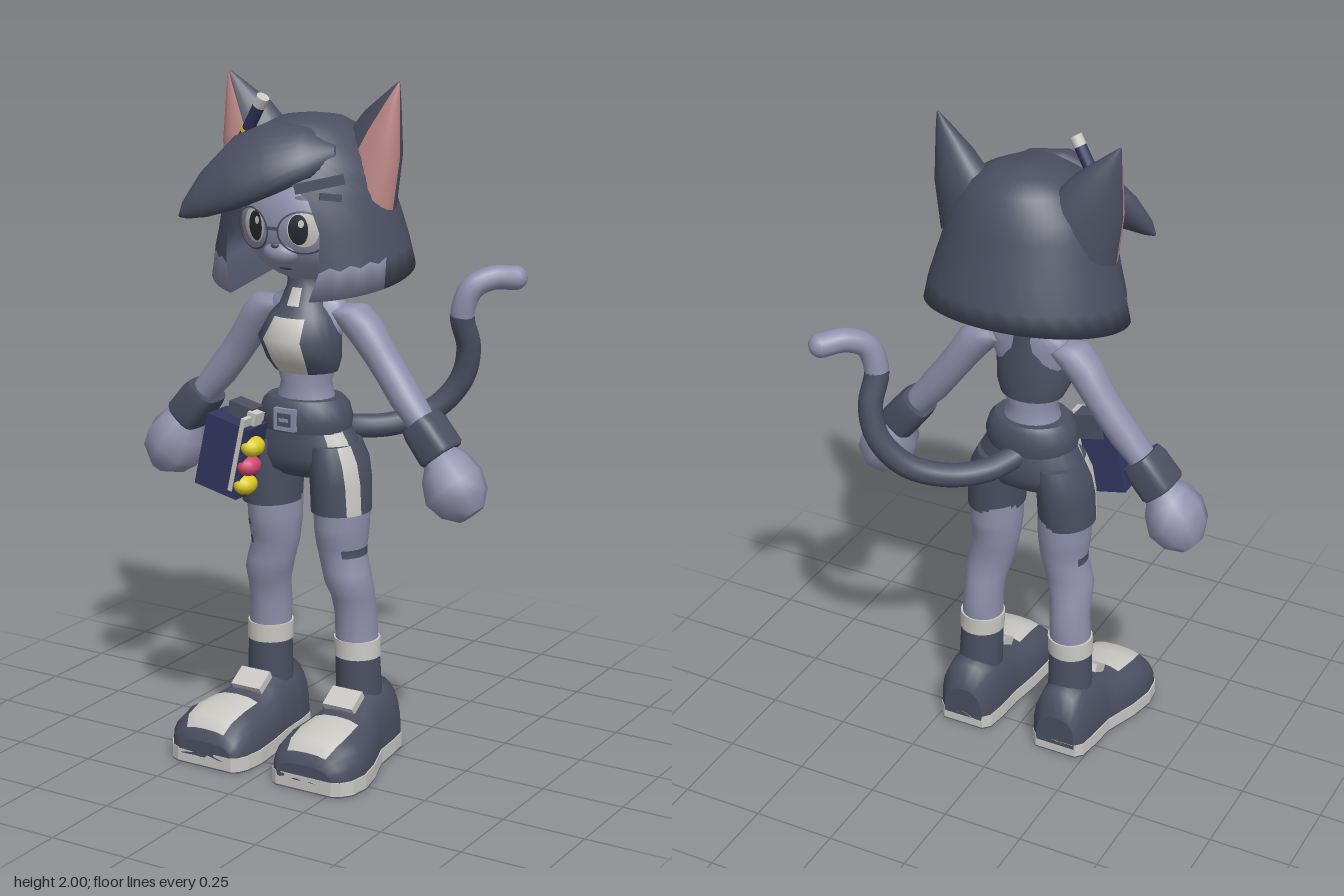
import * as THREE from 'three';

const paintOf = (name, color, double) => {
  const m = new THREE.MeshStandardMaterial({ color });
  m.name = name;
  if (double) m.side = THREE.DoubleSide;
  return m;
};
const V = (x, y, z) => new THREE.Vector3(x, y, z);
const X = V(1, 0, 0), Y = V(0, 1, 0), Z = V(0, 0, 1);

export function createModel() {
  const slate = paintOf('slate', 0x4b4f61, true), fur = paintOf('lavender fur', 0x8f8fac, true);
  const white = paintOf('off white', 0xc9c8c3), pink = paintOf('ear pink', 0xbd8886);
  const navy = paintOf('navy', 0x32365f), yellow = paintOf('yellow', 0xdccb22);
  const magenta = paintOf('magenta', 0xd0466f), ink = paintOf('ink', 0x282a33);
  const model = new THREE.Group();
  model.name = 'catCharacter';

  const add = (name, geo, mat, pos, rot) => {
    const m = new THREE.Mesh(geo, mat);
    m.name = name;
    if (pos) m.position.set(...pos);
    if (rot) m.rotation.set(...rot);
    model.add(m);
    return m;
  };

  // Indexed grid surface with one geometry group per material
  const grid = (name, pts, quads, mats) => {
    const geo = new THREE.BufferGeometry().setFromPoints(pts), index = [];
    mats.forEach((_, k) => {
      const start = index.length;
      for (const q of quads) if (q.k === k) index.push(...q.f);
      geo.addGroup(start, index.length - start, k);
    });
    geo.setIndex(index);
    geo.computeVertexNormals();
    return add(name, geo, mats.length > 1 ? mats : mats[0]);
  };

  // Sweep of elliptical rings [x, y, z, a, b] spanned by axes u and v, with flat end caps
  const sweep = (name, rings, mats, { u = X, v = Z, n = 24, p = 2, paint = () => 0, floor = -1 } = {}) => {
    const pts = [], quads = [], N = rings.length;
    const se = c => Math.sign(c) * Math.abs(c) ** (2 / p);
    const ringPts = ([x, y, z, a, b]) => {
      for (let j = 0; j < n; j++) {
        const t = j / n * Math.PI * 2;
        const q = V(x, y, z).addScaledVector(u, a * se(Math.cos(t))).addScaledVector(v, b * se(Math.sin(t)));
        q.y = Math.max(q.y, floor);
        pts.push(q);
      }
    };
    rings.forEach(ringPts);
    const first = V(...rings[0]), last = V(...rings[N - 1]);
    const flip = u.clone().cross(v).dot(last.clone().sub(first)) < 0;
    const tri = (k, a, b, c) => quads.push({ k, f: flip ? [a, c, b] : [a, b, c] });
    for (let i = 0; i < N - 1; i++) for (let j = 0; j < n; j++) {
      const a = i * n + j, b = i * n + (j + 1) % n, k = paint(i, j);
      tri(k, a, b, b + n);
      tri(k, a, b + n, a + n);
    }
    [[rings[0], first], [rings[N - 1], last]].forEach(([r, c], e) => {
      const s = pts.length;
      ringPts(r);
      pts.push(c);
      for (let j = 0; j < n; j++) {
        const a = s + j, b = s + (j + 1) % n;
        e ? tri(0, a, b, s + n) : tri(0, b, a, s + n);
      }
    });
    return grid(name, pts, quads, [].concat(mats));
  };
  // Upright shapes: rows of [y, centre z, x radius, z radius]
  const upright = (name, rows, mats, opt) => sweep(name, rows.map(([y, z, a, b]) => [0, y, z, a, b]), mats, opt);

  // Head and face, with details laid onto the face surface
  const head = add('head', new THREE.SphereGeometry(1, 32, 24), fur, [0, 1.605, 0.05]);
  head.scale.set(0.2, 0.182, 0.19);
  const faceZ = (x, y) => 0.05 + 0.19 * Math.sqrt(Math.max(0, 1 - (x / 0.2) ** 2 - ((y - 1.605) / 0.182) ** 2));
  const onFace = (name, x, y, rx, ry, mat, lift, inner = 0) => {
    const g = new THREE.RingGeometry(inner, 1, 28, 3).scale(rx, ry, 1).translate(x, y, 0), q = g.attributes.position;
    for (let i = 0; i < q.count; i++) q.setZ(i, faceZ(q.getX(i), q.getY(i)) + lift);
    g.computeVertexNormals();
    add(name, g, mat);
  };
  for (const s of [1, -1]) {
    onFace('eyeWhite', s * 0.08, 1.598, 0.042, 0.05, white, 0.003);
    onFace('iris', s * 0.07, 1.598, 0.027, 0.043, ink, 0.006);
    onFace('eyeGlint', s * 0.07 + 0.01, 1.616, 0.008, 0.011, white, 0.009);
    onFace('brow', s * 0.085, 1.685, 0.035, 0.007, slate, 0.004);
    onFace('glassesRim', s * 0.083, 1.59, 0.069, 0.062, slate, 0.016, 0.92);
  }
  add('glassesBridge', new THREE.BoxGeometry(0.035, 0.008, 0.01), slate, [0, 1.6, 0.258]);
  add('muzzle', new THREE.SphereGeometry(1, 20, 14), fur, [0, 1.525, 0.205]).scale.set(0.055, 0.036, 0.042);
  add('nose', new THREE.SphereGeometry(1, 12, 8), slate, [0, 1.55, 0.242]).scale.set(0.012, 0.008, 0.01);
  onFace('mouth', 0, 1.475, 0.022, 0.004, slate, 0.004);

  // Bob hair shell: rows of [y, x radius, back radius, front radius, half opening in degrees, slope of the hem]
  const hairRows = [[1.9, 0.002, 0.002, 0.002, 0, 0], [1.888, 0.09, 0.08, 0.12, 0, 0], [1.855, 0.155, 0.135, 0.18, 0, 0],
    [1.79, 0.205, 0.17, 0.225, 0, 0], [1.74, 0.225, 0.185, 0.245, 14, 0], [1.69, 0.24, 0.2, 0.262, 30, 0],
    [1.61, 0.265, 0.222, 0.264, 35, 0.3], [1.52, 0.288, 0.24, 0.262, 32, 0.7], [1.455, 0.303, 0.254, 0.262, 25, 1],
    [1.475, 0.07, 0.06, 0.06, 75, 0.5]];
  const hn = 48, hairPts = [], hairQuads = [];
  hairRows.forEach(([y, rx, back, front, gap, slope], i) => {
    for (let j = 0; j <= hn; j++) {
      const t = (gap + (360 - 2 * gap) * j / hn) * Math.PI / 180, c = Math.cos(t), z = 0.035 + (c > 0 ? front : back) * c;
      const jag = i === 7 ? 0.012 * (j % 2) : 0;
      hairPts.push(V(rx * Math.sin(t), y - 0.2 * slope * (z - 0.03) + jag, z));
      if (i && j) {
        const d = i * (hn + 1) + j, e = d - 1, b = d - hn - 1, a = b - 1;
        hairQuads.push({ k: i === 8 && (j < 8 || j > hn - 7) ? 1 : 0, f: [a, e, d, a, d, b] });
      }
    }
  });
  grid('bobHair', hairPts, hairQuads, [slate, fur]);

  // Swept fringe
  sweep('fringe', [[0.15, 1.81, 0.15, 0.02, 0.02], [0.09, 1.812, 0.2, 0.08, 0.045], [-0.01, 1.795, 0.235, 0.12, 0.06],
    [-0.11, 1.75, 0.257, 0.12, 0.06], [-0.2, 1.685, 0.288, 0.075, 0.044], [-0.25, 1.64, 0.31, 0.03, 0.022], [-0.27, 1.62, 0.315, 0.004, 0.004]], slate,
  { u: V(-0.3, 0.72, -0.62).normalize(), v: V(-0.2, 0.58, 0.78).normalize() });

  // Hair clips and pencil tucked in the hair
  add('hairClip', new THREE.BoxGeometry(0.14, 0.026, 0.02), slate, [0.15, 1.735, 0.25], [0, 0.6, 0.2]);
  add('hairClip', new THREE.BoxGeometry(0.06, 0.018, 0.02), slate, [0.18, 1.7, 0.24], [0, 0.65, -0.1]);
  const pencil = (name, a, b, r, mat) => {
    const from = V(-0.2, 1.77, 0.135), dir = V(0.115, 0.18, 0.03);
    const m = add(name, new THREE.CylinderGeometry(r, r, dir.length() * (b - a), 12), mat);
    m.position.copy(from).addScaledVector(dir, (a + b) / 2);
    m.quaternion.setFromUnitVectors(Y, dir.normalize());
  };
  pencil('pencilBody', 0, 0.85, 0.018, navy);
  pencil('pencilBand', 0.42, 0.47, 0.02, yellow);
  pencil('pencilCap', 0.85, 1, 0.019, white);

  // Neck, torso and halter top
  upright('torso', [[1.04, 0.07, 0.1, 0.085], [1.09, 0.075, 0.085, 0.075], [1.13, 0.075, 0.075, 0.07], [1.18, 0.075, 0.092, 0.072],
    [1.27, 0.075, 0.112, 0.07], [1.33, 0.062, 0.132, 0.06], [1.37, 0.055, 0.115, 0.053], [1.4, 0.055, 0.055, 0.05], [1.48, 0.055, 0.05, 0.05]], fur);
  upright('halterTop', [[1.165, 0.075, 0.097, 0.08], [1.2, 0.088, 0.113, 0.096], [1.27, 0.11, 0.122, 0.117], [1.33, 0.088, 0.1, 0.09],
    [1.36, 0.075, 0.076, 0.077], [1.41, 0.062, 0.061, 0.064], [1.435, 0.06, 0.061, 0.062]], [slate, white],
  { paint: (i, j) => (i < 3 && j > 3 && j < 8) || (i === 4 && j > 4 && j < 7) ? 1 : 0 });

  // Shorts, belt and buckle
  const stripe = (i, j) => j === 1 || j === 2 ? 1 : 0;
  upright('shortsHips', [[1.02, 0.075, 0.128, 0.1], [0.97, 0.07, 0.158, 0.107], [0.92, 0.07, 0.176, 0.112], [0.88, 0.072, 0.16, 0.095],
    [0.855, 0.072, 0.11, 0.06]], [slate, white], { paint: (i, j) => i < 2 && (stripe(i, j) || stripe(i, 11 - j)) ? 1 : 0 });
  upright('belt', [[0.995, 0.075, 0.138, 0.109], [1.03, 0.076, 0.144, 0.115], [1.07, 0.076, 0.132, 0.11], [1.088, 0.076, 0.115, 0.096]], slate);
  add('buckle', new THREE.BoxGeometry(0.07, 0.065, 0.016), fur, [0, 1.037, 0.19]);
  add('buckleCentre', new THREE.BoxGeometry(0.044, 0.038, 0.008), slate, [0, 1.037, 0.197]);
  add('bucklePin', new THREE.BoxGeometry(0.03, 0.01, 0.008), fur, [0, 1.037, 0.2]);

  // Limbs and shoes, mirrored by s
  for (const s of [1, -1]) {
    const u = V(s, 0, 0);
    const part = (name, rings, mats, opt) => sweep(name, rings.map(([x, ...r]) => [s * x, ...r]), mats, { u, ...opt });

    // Ears with pink inner faces
    part('ear', [[0.175, 1.735, 0.025, 0.13, 0.085], [0.225, 1.855, 0.03, 0.088, 0.06], [0.265, 1.96, 0.037, 0.027, 0.022],
      [0.28, 2.0, 0.04, 0.003, 0.003]], [slate, pink], { u: V(s * 0.72, -0.69, 0.2), paint: (i, j) => j < 7 ? 1 : 0 });

    // Legs
    part('shortsLeg', [[0.095, 0.96, 0.07, 0.068, 0.1], [0.107, 0.91, 0.07, 0.08, 0.11], [0.115, 0.85, 0.072, 0.084, 0.108],
      [0.118, 0.76, 0.074, 0.085, 0.1]], [slate, white], { paint: stripe });
    const mark = (i, j) => (i === 4 && (j < 4 || j > 21)) || (s < 0 && i === 2 && j > 0 && j < 4) ? 1 : 0;
    part('leg', [[0.115, 0.78, 0.065, 0.08, 0.092], [0.114, 0.715, 0.065, 0.079, 0.089], [0.114, 0.7, 0.065, 0.078, 0.088],
      [0.114, 0.685, 0.065, 0.077, 0.085], [0.114, 0.65, 0.064, 0.073, 0.079], [0.116, 0.625, 0.062, 0.071, 0.074],
      [0.129, 0.575, 0.064, 0.072, 0.07], [0.137, 0.54, 0.063, 0.071, 0.072], [0.144, 0.5, 0.052, 0.064, 0.066],
      [0.147, 0.44, 0.038, 0.061, 0.067], [0.15, 0.36, 0.037, 0.063, 0.064]], [fur, slate], { paint: mark });
    part('sockBand', [[0.15, 0.365, 0.036, 0.069, 0.068], [0.152, 0.31, 0.036, 0.069, 0.068]], white);
    part('sock', [[0.152, 0.31, 0.036, 0.066, 0.066], [0.155, 0.18, 0.03, 0.068, 0.07]], slate);

    // Shoe: upper along z as [x, z, half width, top height], with a pale sole below
    const shoe = [[0.16, -0.085, 0.065, 0.13], [0.16, -0.062, 0.085, 0.215], [0.16, 0.0, 0.094, 0.222], [0.162, 0.085, 0.1, 0.215],
      [0.166, 0.125, 0.11, 0.18], [0.173, 0.19, 0.126, 0.168], [0.178, 0.27, 0.137, 0.162], [0.178, 0.33, 0.13, 0.145],
      [0.174, 0.362, 0.112, 0.115], [0.17, 0.374, 0.09, 0.08]];
    part('shoeUpper', shoe.map(([x, z, a, h]) => [x, 0.045, z, a, h - 0.045]), [slate, white],
      { v: Y, p: 2.5, floor: 0.03, paint: (i, j) => i > 4 && i < 8 && j > 3 && j < 8 ? 1 : 0 });
    const outline = new THREE.Shape([...shoe.map(([x, z, a]) => new THREE.Vector2(s * x + a * 1.03, -z)),
      ...shoe.map(([x, z, a]) => new THREE.Vector2(s * x - a * 1.03, -z)).reverse()]);
    add('soleRim', new THREE.ExtrudeGeometry(outline, { depth: 0.042, bevelEnabled: false }).rotateX(-Math.PI / 2), white, [0, 0.004, 0]);
    add('soleTread', new THREE.ShapeGeometry(outline).rotateX(-Math.PI / 2), slate);
    add('shoeTongue', new THREE.BoxGeometry(0.1, 0.025, 0.07), white, [s * 0.16, 0.195, 0.13], [0.55, 0, 0]);

    // Arms
    const arm = { u: Z, v: V(s * 0.75, 0.66, 0) };
    part('arm', [[0.1, 1.345, 0.052, 0.045, 0.03], [0.14, 1.335, 0.05, 0.058, 0.05], [0.18, 1.295, 0.048, 0.058, 0.053],
      [0.225, 1.23, 0.043, 0.052, 0.048], [0.265, 1.175, 0.042, 0.05, 0.047], [0.31, 1.115, 0.046, 0.05, 0.047],
      [0.39, 1.02, 0.05, 0.042, 0.037]], fur, arm);
    part('cuff', [[0.362, 1.05, 0.048, 0.06, 0.05], [0.38, 1.03, 0.048, 0.066, 0.056], [0.43, 0.968, 0.05, 0.066, 0.058],
      [0.436, 0.96, 0.05, 0.06, 0.052]], slate, { ...arm, p: 3.5 });
    part('hand', [[0.42, 0.97, 0.05, 0.045, 0.04], [0.445, 0.925, 0.052, 0.084, 0.078], [0.475, 0.875, 0.054, 0.096, 0.098],
      [0.51, 0.832, 0.054, 0.084, 0.078], [0.533, 0.8, 0.052, 0.045, 0.038]], fur, { ...arm, n: 8 });
  }

  // Hip pouch with round sweets along its edge
  const tilt = [0, 0, -0.22];
  add('pouch', new THREE.BoxGeometry(0.145, 0.22, 0.1), navy, [-0.167, 0.922, 0.22], tilt);
  add('pouchTrim', new THREE.BoxGeometry(0.014, 0.225, 0.105), white, [-0.115, 0.934, 0.22], tilt);
  add('pouchLoop', new THREE.BoxGeometry(0.08, 0.08, 0.06), slate, [-0.14, 1.03, 0.19], tilt);
  add('pouchTab', new THREE.BoxGeometry(0.03, 0.05, 0.04), white, [-0.09, 1.03, 0.215], tilt);
  [[-0.083, 0.957, yellow], [-0.096, 0.898, magenta], [-0.109, 0.84, yellow]].forEach(([x, y, m]) =>
    add('sweet', new THREE.SphereGeometry(1, 14, 10), m, [x, y, 0.235], tilt).scale.set(0.033, 0.03, 0.043));

  // Tail with a pale tip
  const path = new THREE.CatmullRomCurve3([[0, 0.99, 0], [0.06, 0.965, -0.09], [0.15, 0.965, -0.17], [0.25, 1.01, -0.24], [0.32, 1.1, -0.275],
    [0.345, 1.2, -0.27], [0.338, 1.3, -0.24], [0.362, 1.38, -0.25], [0.405, 1.408, -0.29], [0.455, 1.405, -0.345]].map(a => V(...a))).getPoints(60);
  const tube = (name, pts, mat) => add(name, new THREE.TubeGeometry(new THREE.CatmullRomCurve3(pts), 40, 0.036, 14), mat);
  tube('tail', path.slice(0, 41), slate);
  tube('tailTip', path.slice(40), fur);
  add('tailEnd', new THREE.SphereGeometry(0.036, 14, 10), fur, path[60].toArray());
  return model;
}
